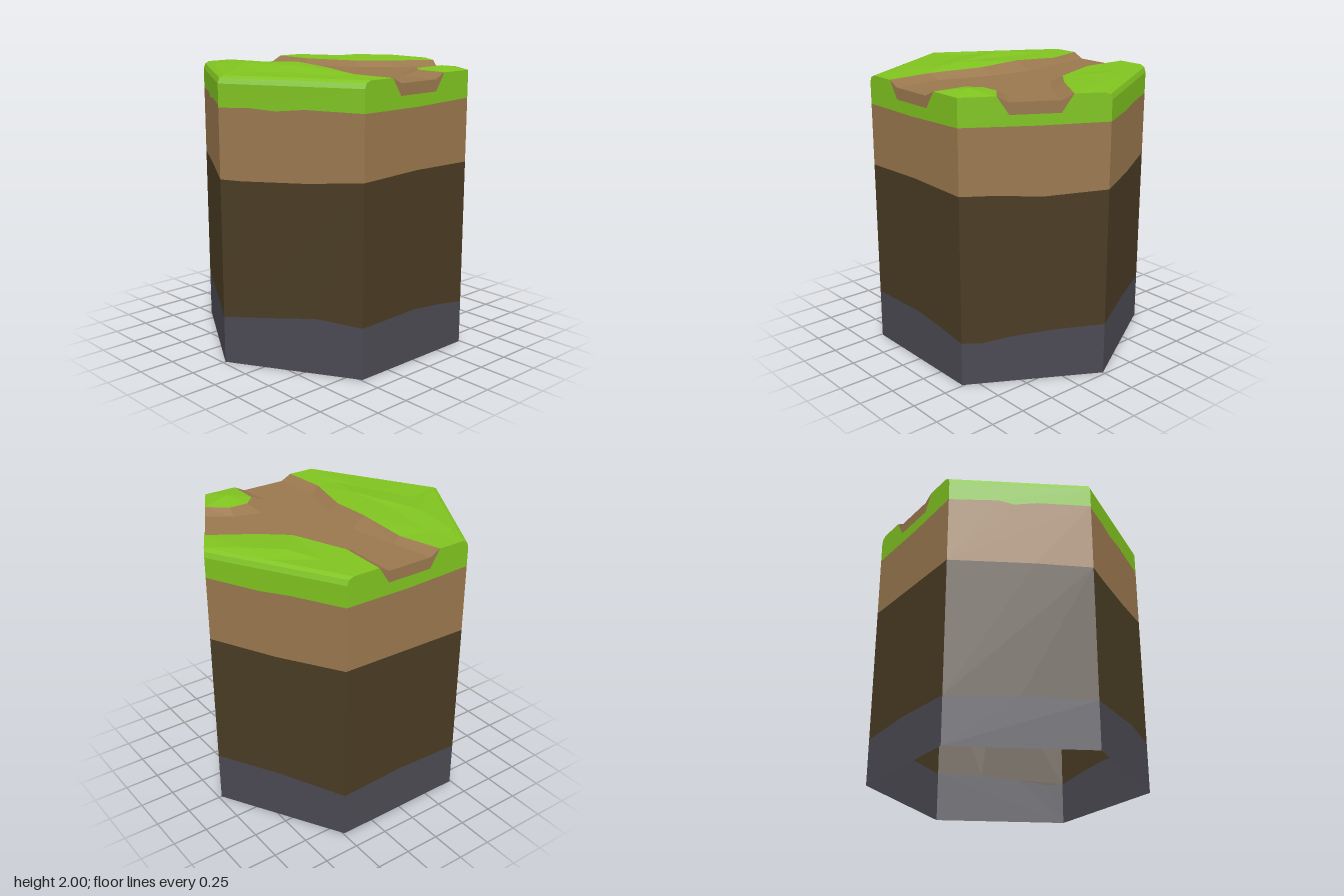
import * as THREE from 'three';

const material = (name, color) => {
  const m = new THREE.MeshStandardMaterial({ color, side: THREE.DoubleSide, flatShading: true });
  m.name = name;
  return m;
};

// Hexagon corners [x, z], counter-clockwise from the front corner
const CORNERS = [[0, 0.98], [0.85, 0.49], [0.85, -0.49], [0, -0.98], [-0.85, -0.49], [-0.85, 0.49]];
const SIDE = Math.hypot(0.85, 0.49);
const RIM = 1.92, TURF = 1.97, FLOOR = 1.93;

// Point on side f at fraction u, with height y
const onSide = (f, u, y) => {
  const a = CORNERS[f], b = CORNERS[(f + 1) % 6];
  return [a[0] + (b[0] - a[0]) * u, y, a[1] + (b[1] - a[1]) * u];
};

// Wavy layer borders for each side: [fraction, height]
const LAYERS = [
  { stone: [[0, 0.33], [0.3, 0.355], [0.67, 0.39], [1, 0.36]],
    earth: [[0, 1.29], [0.15, 1.287], [0.6, 1.3], [1, 1.33]],
    soil: [[0, 1.765], [0.22, 1.77], [0.4, 1.757], [0.6, 1.775], [1, 1.767]] },
  { stone: [[0, 0.36], [0.5, 0.37], [0.75, 0.345], [1, 0.31]],
    earth: [[0, 1.33], [0.5, 1.345], [1, 1.335]],
    soil: [[0, 1.767], [0.5, 1.765], [1, 1.78]] },
  { stone: [[0, 0.31], [0.13, 0.3], [0.35, 0.335], [0.65, 0.36], [1, 0.37]],
    earth: [[0, 1.335], [0.25, 1.33], [0.55, 1.307], [1, 1.33]],
    soil: [[0, 1.78], [0.5, 1.775], [1, 1.78]] },
  { stone: [[0, 0.37], [0.5, 0.365], [1, 0.33]],
    earth: [[0, 1.33], [0.5, 1.31], [1, 1.32]],
    soil: [[0, 1.78], [0.4, 1.765], [0.6, 1.775], [1, 1.77]] },
  { stone: [[0, 0.33], [0.5, 0.35], [1, 0.33]],
    earth: [[0, 1.32], [0.5, 1.31], [1, 1.3]],
    soil: [[0, 1.77], [0.5, 1.765], [1, 1.78]] },
  { stone: [[0, 0.33], [0.5, 0.345], [1, 0.33]],
    earth: [[0, 1.3], [0.6, 1.302], [1, 1.29]],
    soil: [[0, 1.78], [0.35, 1.79], [0.46, 1.762], [0.62, 1.783], [1, 1.78]] },
];

// Grass outline pieces where the path leaves the block and where the rim is chamfered
const CUT = [[0.25, TURF], [0.33, 1.85], [0.67, 1.85], [0.75, TURF]];
const DIP = [[0.25, TURF], [0.33, FLOOR], [0.67, FLOOR], [0.75, TURF]];
const CHAMFER_START = [[0, RIM], [0.015, 1.955], [0.05, TURF]];
const CHAMFER_END = [[0.95, TURF], [0.985, 1.955], [1, RIM]];
const EDGE = [[0, RIM], [1, RIM]];
const TOPS = [
  EDGE,
  [...CHAMFER_START, ...CUT, [1, TURF]],
  [[0, TURF], ...CUT, ...CHAMFER_END],
  EDGE,
  [...CHAMFER_START, ...CUT, ...CHAMFER_END],
  EDGE,
];

// Upright wall panel on side f between two profiles
function panel(f, lower, upper, mat, name) {
  const outline = [...lower, ...[...upper].reverse()].map(([u, y]) => new THREE.Vector2(u * SIDE, y));
  const mesh = new THREE.Mesh(new THREE.ShapeGeometry(new THREE.Shape(outline)), mat);
  const a = CORNERS[f], b = CORNERS[(f + 1) % 6];
  mesh.position.set(a[0], 0, a[1]);
  mesh.rotation.y = Math.atan2(a[1] - b[1], b[0] - a[0]);
  mesh.name = name;
  return mesh;
}

// Faceted upward surface through rows of [x, y, z] points
function sheet(rows, mat, name) {
  const pos = [];
  const tri = (a, b, c) => {
    const up = (b[2] - a[2]) * (c[0] - a[0]) - (b[0] - a[0]) * (c[2] - a[2]);
    if (Math.abs(up) < 1e-7) return;
    pos.push(...a, ...(up > 0 ? [...b, ...c] : [...c, ...b]));
  };
  for (let r = 0; r + 1 < rows.length; r++) {
    for (let i = 0; i + 1 < rows[r].length; i++) {
      const [a, b, c, d] = [rows[r][i], rows[r][i + 1], rows[r + 1][i], rows[r + 1][i + 1]];
      if ((r + i) % 2) { tri(a, b, c); tri(b, d, c); } else { tri(a, b, d); tri(a, d, c); }
    }
  }
  const geo = new THREE.BufferGeometry();
  geo.setAttribute('position', new THREE.Float32BufferAttribute(pos, 3));
  geo.computeVertexNormals();
  const mesh = new THREE.Mesh(geo, mat);
  mesh.name = name;
  return mesh;
}

export function createModel() {
  const grass = material('grass green', 0x80c420);
  const soil = material('soil brown', 0x9a784e);
  const earth = material('dark earth', 0x4a3c24);
  const stone = material('stone grey', 0x4b4a53);
  const model = new THREE.Group();
  model.name = 'hexagonal path tile';

  // Layered walls, open underneath
  LAYERS.forEach((l, f) => {
    model.add(
      panel(f, [[0, 0], [1, 0]], l.stone, stone, 'stoneLayer'),
      panel(f, l.stone, l.earth, earth, 'earthLayer'),
      panel(f, l.earth, l.soil, soil, 'soilLayer'),
      panel(f, l.soil, TOPS[f], grass, 'grassLayer'));
    if (TOPS[f].length > 2) model.add(panel(f, CUT, DIP, soil, 'pathEnd'));
  });

  // Turf edges along the path, and the matching foot of each bank
  const T = TURF, F = FLOOR;
  const frontEdge = [onSide(4, 0.75, T), [-0.55, T, 0.165], [-0.18, 1.995, 0.155], [0.14, 1.98, 0.165],
    [0.52, T, 0.27], onSide(1, 0.25, T)];
  const frontFoot = [onSide(4, 0.67, F), [-0.55, F, 0.11], [-0.2, F, 0.045], [0.125, F, 0.08],
    [0.49, F, 0.195], onSide(1, 0.33, F)];
  const backEdge = [onSide(4, 0.25, T), [-0.51, T, -0.24], [-0.125, T, -0.39], [0.02, T, -0.56],
    onSide(2, 0.75, T)];
  const backFoot = [onSide(4, 0.33, F), [-0.475, F, -0.17], [-0.065, F, -0.335], [0.135, F, -0.57],
    onSide(2, 0.67, F)];
  const cornerEdge = [onSide(1, 0.75, T), [0.61, T, -0.25], [0.525, T, -0.335], [0.525, T, -0.475],
    onSide(2, 0.25, T)];
  const cornerFoot = [onSide(1, 0.67, F), [0.575, F, -0.14], [0.4, F, -0.3], [0.455, F, -0.495],
    onSide(2, 0.33, F)];
  model.add(
    sheet([frontEdge, frontFoot], soil, 'frontBank'),
    sheet([backEdge, backFoot], soil, 'backBank'),
    sheet([cornerEdge, cornerFoot], soil, 'cornerBank'));

  // Flat path floor with its fork
  const outline = [...frontFoot, ...cornerFoot, ...[...backFoot].reverse()];
  const floor = new THREE.Mesh(
    new THREE.ShapeGeometry(new THREE.Shape(outline.map(p => new THREE.Vector2(p[0], -p[2])))), soil);
  floor.rotation.x = -Math.PI / 2;
  floor.position.y = FLOOR;
  floor.name = 'pathFloor';
  model.add(floor);

  // Front meadow
  model.add(sheet([
    frontEdge,
    [[-0.85, T, 0.34], [-0.62, 1.975, 0.36], [-0.13, 1.985, 0.4], [0.19, 2, 0.36], [0.5, T, 0.42], [0.85, T, 0.34]],
    [[-0.85, T, 0.4], [-0.7, 1.975, 0.5], [-0.32, 2, 0.52], [-0.07, T, 0.68], [0.26, 1.975, 0.52], [0.85, T, 0.4]],
    [[-0.85, T, 0.441], [-0.5, T, 0.643], [-0.2, T, 0.815], [0, T, 0.931], [0.4, T, 0.7], [0.85, T, 0.441]],
  ], grass, 'frontMeadow'));

  // Back meadow
  model.add(sheet([
    backEdge,
    [[-0.85, T, -0.34], [-0.55, 1.972, -0.455], [-0.33, 1.995, -0.58], [-0.14, 1.99, -0.78], onSide(2, 0.85, T)],
    [[-0.85, T, -0.441], [-0.62, T, -0.574], [-0.35, T, -0.729], [-0.15, T, -0.845], onSide(2, 0.95, T)],
  ], grass, 'backMeadow'));

  // Small corner meadow rising to a low peak
  const ring = [...cornerEdge, onSide(2, 0, T), cornerEdge[0]];
  model.add(sheet([ring, ring.map(() => [0.69, 1.995, -0.4])], grass, 'cornerMeadow'));

  // Chamfered turf rims
  model.add(
    sheet([
      [onSide(5, 0, RIM), onSide(0, 0, RIM), onSide(0, 1, RIM)],
      [onSide(4, 0.985, 1.955), [0, 1.955, 0.965], onSide(1, 0.015, 1.955)],
      [onSide(4, 0.95, T), [0, T, 0.931], onSide(1, 0.05, T)],
    ], grass, 'frontRim'),
    sheet([
      [onSide(3, 0, RIM), onSide(3, 1, RIM)],
      [onSide(2, 0.985, 1.955), onSide(4, 0.015, 1.955)],
      [onSide(2, 0.95, T), onSide(4, 0.05, T)],
    ], grass, 'backRim'));

  return model;
}
